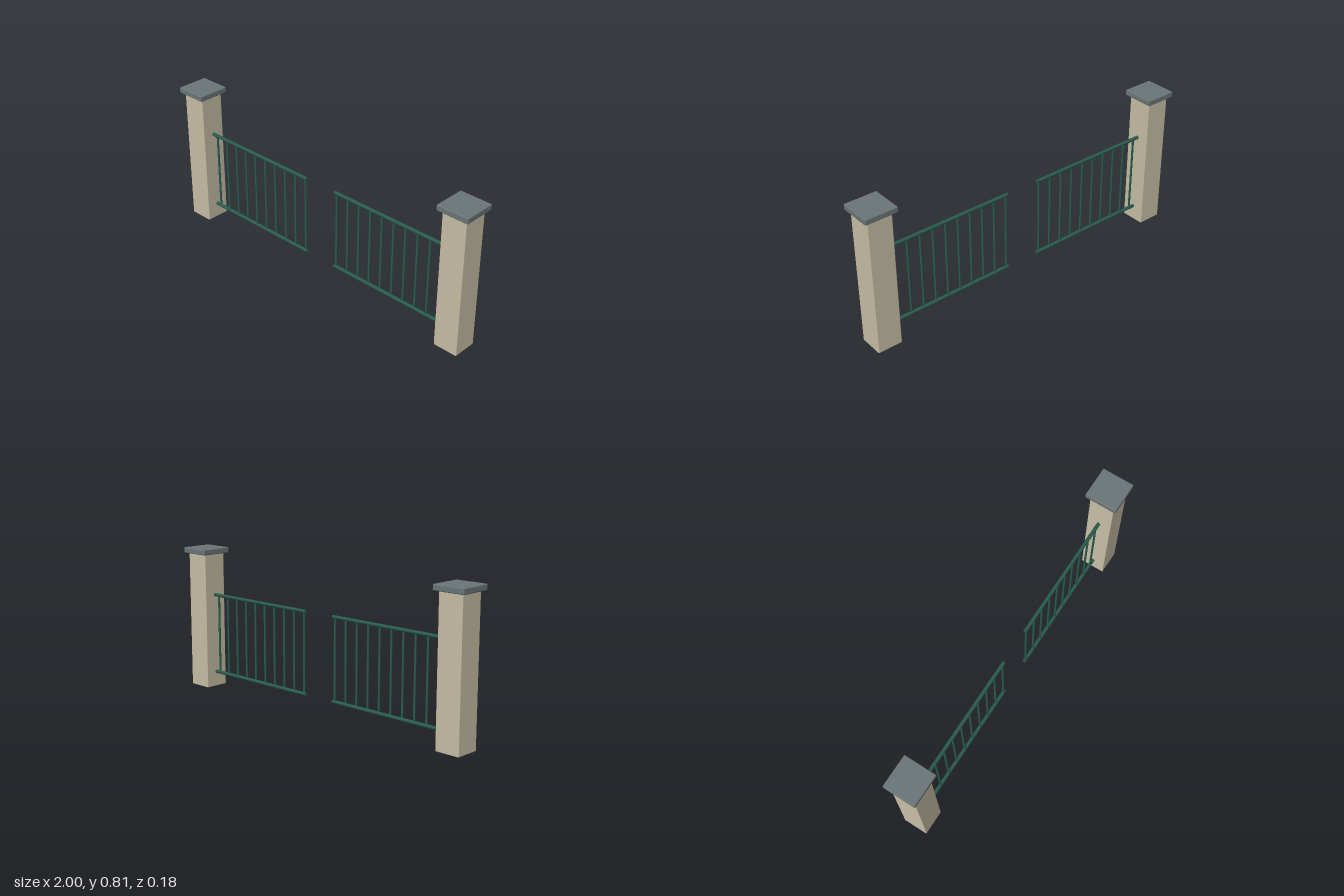
import * as THREE from 'three';
import { RoundedBoxGeometry } from 'three/addons/geometries/RoundedBoxGeometry.js';

const stone = new THREE.MeshStandardMaterial({ color: 0xc8bfa6 });
const slate = new THREE.MeshStandardMaterial({ color: 0x6b7678 });
const iron = new THREE.MeshStandardMaterial({ color: 0x2a5c4e });

const POST_X = 0.909;
const RAIL_IN = 0.1, RAIL_OUT = 0.84;
const RAIL_LOW = 0.088, RAIL_HIGH = 0.542;
const BARS = 10, BAR_IN = 0.113, BAR_OUT = 0.805;

function add(parent, name, geometry, material, x, y) {
  const mesh = new THREE.Mesh(geometry, material);
  mesh.name = name;
  mesh.position.set(x, y, 0);
  parent.add(mesh);
  return mesh;
}

// Stone pillar with a slightly wider slate cap
function buildPost(side) {
  const post = new THREE.Group();
  post.name = side > 0 ? 'leftPost' : 'rightPost';
  post.position.x = side * POST_X;
  add(post, 'pillar', new RoundedBoxGeometry(0.14, 0.78, 0.14, 2, 0.005), stone, 0, 0.39);
  add(post, 'cap', new RoundedBoxGeometry(0.182, 0.032, 0.182, 2, 0.005), slate, 0, 0.794);
  return post;
}

// Two round rails joined by evenly spaced upright bars
function buildPanel(side) {
  const panel = new THREE.Group();
  panel.name = side > 0 ? 'leftPanel' : 'rightPanel';
  const railGeometry = new THREE.CylinderGeometry(0.01, 0.01, RAIL_OUT - RAIL_IN, 12);
  railGeometry.rotateZ(Math.PI / 2);
  const railX = side * (RAIL_IN + RAIL_OUT) / 2;
  add(panel, 'bottomRail', railGeometry, iron, railX, RAIL_LOW);
  add(panel, 'topRail', railGeometry, iron, railX, RAIL_HIGH);

  const barGeometry = new THREE.CylinderGeometry(0.006, 0.006, RAIL_HIGH - RAIL_LOW, 10);
  for (let i = 0; i < BARS; i++) {
    const x = THREE.MathUtils.lerp(BAR_IN, BAR_OUT, i / (BARS - 1));
    add(panel, 'bar', barGeometry, iron, side * x, (RAIL_LOW + RAIL_HIGH) / 2);
  }
  return panel;
}

export function createModel() {
  const model = new THREE.Group();
  model.name = 'gateway';
  for (const side of [-1, 1]) model.add(buildPost(side), buildPanel(side));
  return model;
}
